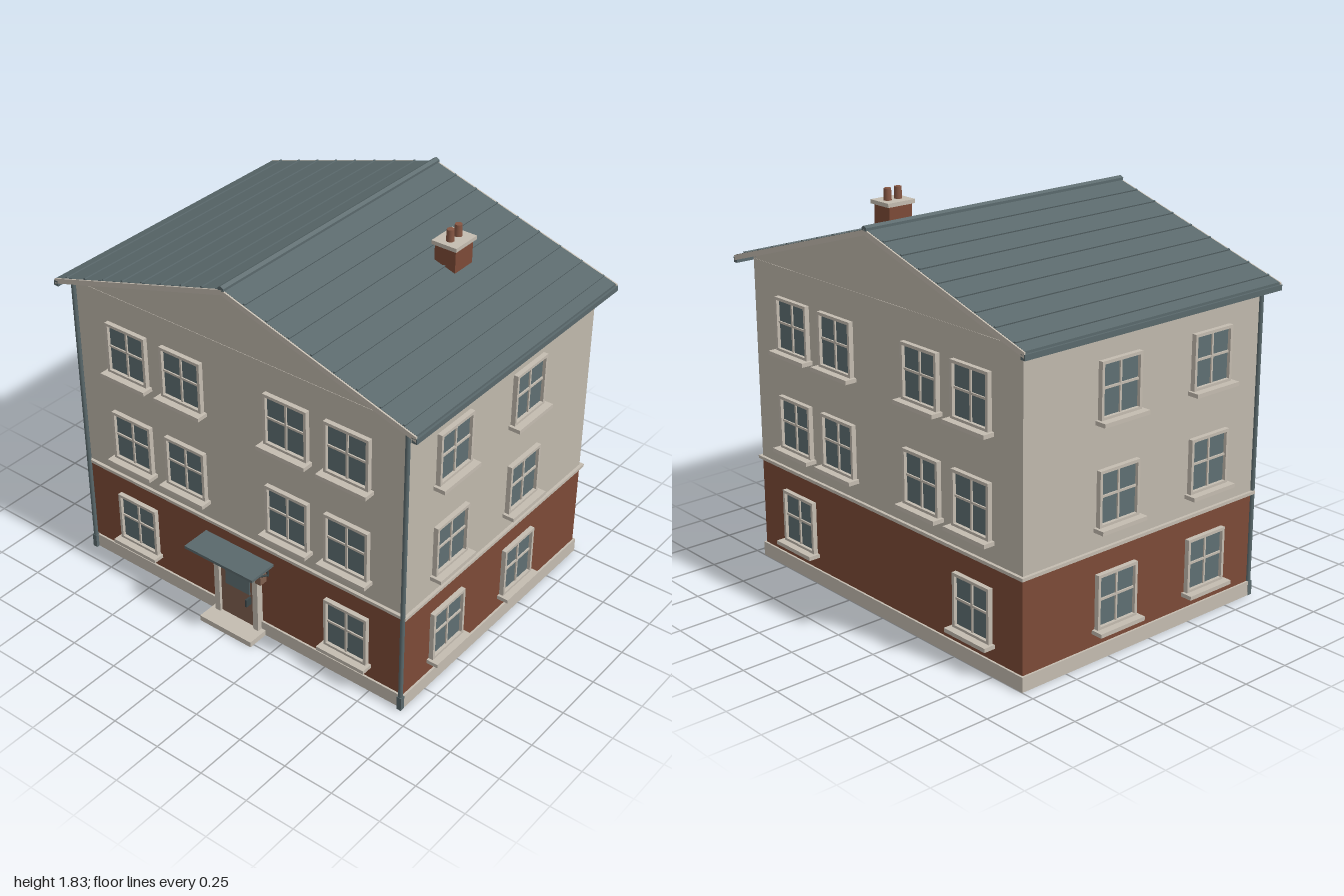
import * as THREE from 'three';

const mat = (name, color) => Object.assign(new THREE.MeshStandardMaterial({ color }), { name });

export function createModel() {
  const wall = mat('wall plaster', 0xbfb8ac), trim = mat('pale stone', 0xc4bcb0);
  const brick = mat('red brick', 0x7c4a37), metal = mat('roof metal', 0x5a696c);
  const glass = mat('window glass', 0x5f6f72), wood = mat('door wood', 0x80604f);
  const dark = mat('dark metal', 0x3b4648), clay = mat('chimney clay', 0x855643);

  const house = new THREE.Group();
  house.name = 'house';
  const HX = 0.925, ZF = 0.655, ZB = -0.74, ZC = (ZF + ZB) / 2, DZ = ZF - ZB;
  const roofF = 0.715, roofB = -0.8;

  const add = (name, geo, material, x = 0, y = 0, z = 0, parent = house) => {
    const m = new THREE.Mesh(geo, material);
    m.name = name;
    m.position.set(x, y, z);
    parent.add(m);
    return m;
  };
  // Box given by its extents along each axis
  const span = (name, material, x0, x1, y0, y1, z0, z1, parent = house) =>
    add(name, new THREE.BoxGeometry(x1 - x0, y1 - y0, z1 - z0), material,
      (x0 + x1) / 2, (y0 + y1) / 2, (z0 + z1) / 2, parent);
  const polygon = pts => new THREE.Shape(pts.map(p => new THREE.Vector2(...p)));
  const extrude = (shape, depth) =>
    new THREE.ExtrudeGeometry(shape, { depth, bevelEnabled: false });
  const rod = (name, material, a, b, r, parent = house) => {
    const dir = b.clone().sub(a);
    const m = add(name, new THREE.CylinderGeometry(r, r, dir.length(), 10), material, 0, 0, 0, parent);
    m.position.copy(a).add(b).multiplyScalar(0.5);
    m.quaternion.setFromUnitVectors(new THREE.Vector3(0, 1, 0), dir.normalize());
  };

  // Storeys: plinth, brick ground floor, string course, plastered walls with gables
  span('plinth', trim, -HX - 0.01, HX + 0.01, 0, 0.07, ZB - 0.01, ZF + 0.01);
  span('groundFloor', brick, -HX, HX, 0.06, 0.51, ZB, ZF);
  span('stringCourse', trim, -HX - 0.015, HX + 0.015, 0.505, 0.52, ZB - 0.015, ZF + 0.015);
  add('upperWalls', extrude(polygon([[-HX, 0.51], [HX, 0.51], [HX, 1.498], [0, 1.785], [-HX, 1.498]]), DZ),
    wall, 0, 0, ZB);
  for (const z of [ZF, ZB])
    span('gableLine', wall, -HX, HX, 1.486, 1.492, z - 0.002, z + 0.002);

  // Roof: a bent slab, pale verge boards, raised seams, ridge cap and gutters
  const EDGE = 0.99, PEAK = 1.805, SLOPE = 0.303;
  const roofY = x => PEAK - SLOPE * Math.abs(x);
  const chevron = (x, top, thick) => polygon([
    [-x, roofY(x) + top - thick], [0, PEAK + top - thick], [x, roofY(x) + top - thick],
    [x, roofY(x) + top], [0, PEAK + top], [-x, roofY(x) + top]]);
  add('roof', extrude(chevron(EDGE, 0, 0.02), roofF - roofB - 0.016), metal, 0, 0, roofB + 0.008);
  for (const z of [roofB, roofF - 0.008])
    add('vergeBoard', extrude(chevron(0.995, -0.001, 0.025), 0.008), trim, 0, 0, z);
  const roofLen = roofF - roofB, roofZ = (roofF + roofB) / 2;
  for (const s of [-1, 1]) {
    for (let i = 1; i <= 8; i++) {
      const x = s * i * 0.116;
      const seam = add('roofSeam', new THREE.BoxGeometry(0.009, 0.01, roofLen - 0.02), metal,
        x, roofY(x) + 0.001, roofZ);
      seam.rotation.z = -s * Math.atan(SLOPE);
    }
    span('gutter', metal, Math.min(s * 0.974, s), Math.max(s * 0.974, s), 1.469, 1.494, roofB, roofF);
    // Downpipe at the front corner
    rod('downpipe', metal, new THREE.Vector3(s * 0.925, 0.0, 0.669),
      new THREE.Vector3(s * 0.925, 1.5, 0.669), 0.011);
    span('downpipeShoe', metal, s * 0.925 - 0.012, s * 0.925 + 0.012, 0, 0.07, 0.657, 0.681);
  }
  add('ridgeCap', extrude(polygon([[-0.016, 1.797], [0.016, 1.797], [0.016, 1.812], [0, 1.821], [-0.016, 1.812]]),
    roofLen), metal, 0, 0, roofB);

  // Chimney
  span('chimneyStack', brick, 0.41, 0.52, 1.6, 1.76, -0.345, -0.215);
  span('chimneyCap', trim, 0.4, 0.53, 1.758, 1.777, -0.358, -0.203);
  for (const z of [-0.31, -0.25])
    add('chimneyPot', new THREE.CylinderGeometry(0.017, 0.019, 0.06, 14), clay, 0.465, 1.803, z);

  // Window facing +z, with its origin at the bottom centre on the wall
  const W = 0.1175, H = 0.257, F = 0.014;
  const frameShape = polygon([[-W, 0], [W, 0], [W, H], [-W, H]]);
  frameShape.holes.push(polygon([[-W + F, F], [-W + F, H - F], [W - F, H - F], [W - F, F]]));
  const frameGeo = extrude(frameShape, 0.024);
  const addWindow = (x, y, z, turn) => {
    const g = new THREE.Group();
    g.name = 'window';
    g.position.set(x, y, z);
    g.rotation.y = turn;
    house.add(g);
    add('windowFrame', frameGeo, trim, 0, 0, -0.001, g);
    span('windowPane', glass, -W + F, W - F, F, H - F, 0, 0.007, g);
    span('windowMullion', trim, -0.005, 0.005, F, H - F, 0.005, 0.014, g);
    span('windowTransom', trim, -W + F, W - F, 0.132, 0.142, 0.005, 0.0138, g);
    span('windowSill', trim, -0.132, 0.132, -0.017, 0.002, -0.001, 0.058, g);
  };
  [0.147, 0.618, 1.095].forEach((y, floor) => {
    for (const s of [-1, 1]) {
      for (const x of floor ? [0.62, 0.295] : [0.62]) {
        addWindow(s * x, y, ZF, 0);
        addWindow(s * x, y, ZB, Math.PI);
      }
      for (const z of [0.346, -0.21]) addWindow(s * HX, y, z, s * Math.PI / 2);
    }
  });

  // Entrance: step, surround, door with pane and handle
  span('doorStep', trim, -0.153, 0.153, 0, 0.028, 0.64, 0.773);
  const surround = polygon([[-0.13, 0.02], [-0.1, 0.02], [-0.1, 0.375], [0.1, 0.375],
    [0.1, 0.02], [0.13, 0.02], [0.13, 0.4], [-0.13, 0.4]]);
  add('doorSurround', extrude(surround, 0.04), trim, 0, 0, 0.65);
  span('door', wood, -0.1, 0.1, 0.028, 0.375, 0.65, 0.675);
  span('doorPane', glass, -0.07, 0.075, 0.205, 0.322, 0.673, 0.679);
  span('doorHandle', dark, 0.07, 0.08, 0.155, 0.195, 0.674, 0.708);

  // Canopy on two brackets
  span('canopy', metal, -0.2, 0.2, 0.421, 0.435, 0.65, 0.803);
  for (const x of [-0.17, 0.17]) {
    rod('canopyBracket', dark, new THREE.Vector3(x, 0.36, 0.66), new THREE.Vector3(x, 0.422, 0.785), 0.005);
    rod('canopyPost', dark, new THREE.Vector3(x, 0.355, 0.66), new THREE.Vector3(x, 0.422, 0.66), 0.005);
  }

  // Wall lamp and letter box
  span('wallLamp', trim, -0.198, -0.172, 0.33, 0.378, 0.665, 0.695);
  span('wallLampCap', dark, -0.2, -0.17, 0.378, 0.385, 0.65, 0.697);
  span('letterBox', wood, 0.125, 0.157, 0.315, 0.365, 0.65, 0.697);

  return house;
}
